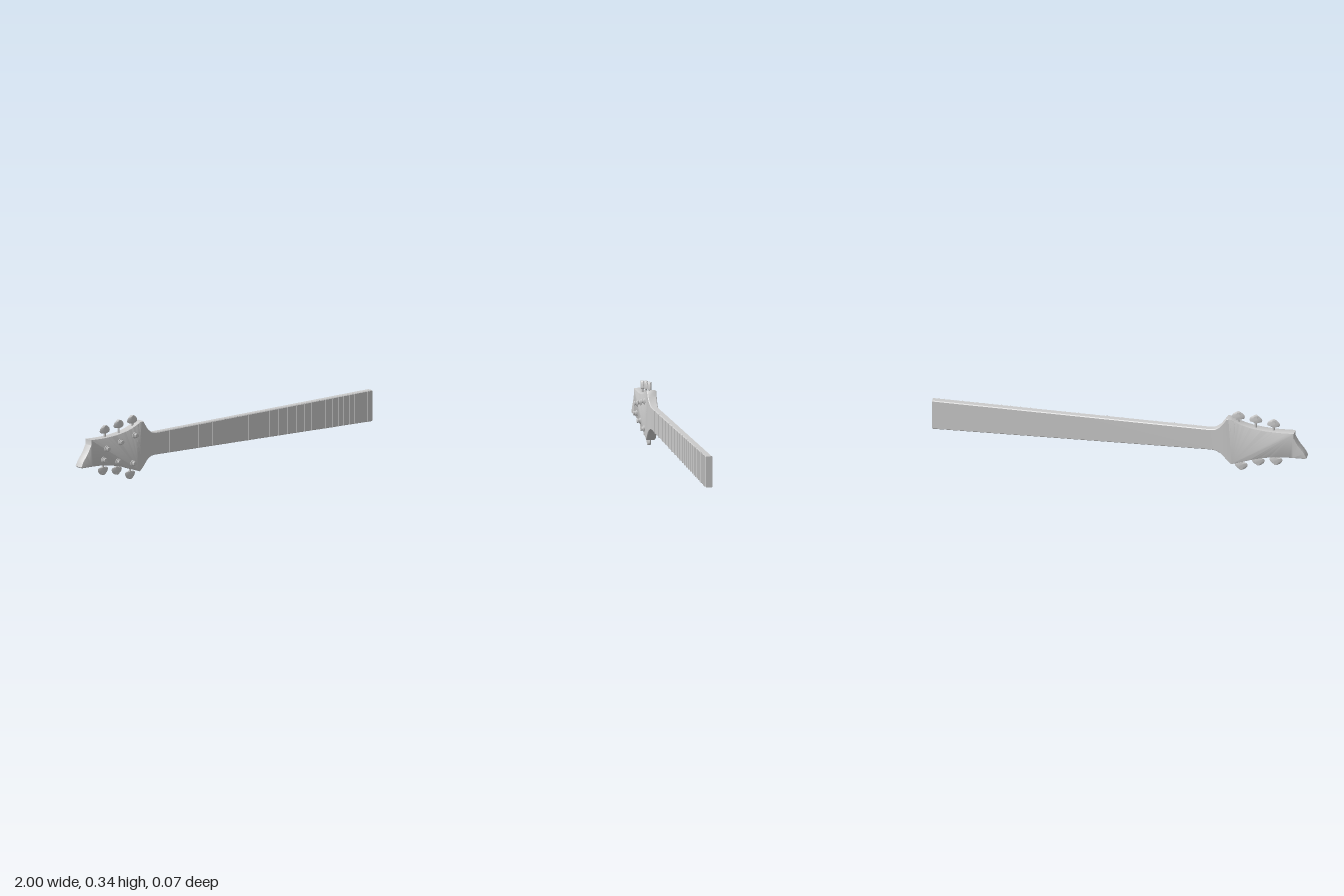
import * as THREE from 'three';
import { toCreasedNormals } from 'three/addons/utils/BufferGeometryUtils.js';

const material = new THREE.MeshStandardMaterial({ color: 0xcccccc });

function addMesh(parent, name, geometry) {
  const mesh = new THREE.Mesh(geometry, material);
  mesh.name = name;
  parent.add(mesh);
  return mesh;
}

// Skin a list of rings (counter-clockwise seen from the far end) and cap both ends
function loft(rings, crease = 0.5) {
  const n = rings[0].length, last = (rings.length - 1) * n, index = [];
  for (let r = 0; r < rings.length - 1; r++) {
    for (let i = 0; i < n; i++) {
      const a = r * n + i, b = r * n + (i + 1) % n;
      index.push(a, b, b + n, a, b + n, a + n);
    }
  }
  for (let i = 1; i < n - 1; i++) {
    index.push(0, i + 1, i, last, last + i, last + i + 1);
  }
  const g = new THREE.BufferGeometry();
  g.setAttribute('position', new THREE.Float32BufferAttribute(rings.flat(2), 3));
  g.setIndex(index);
  return toCreasedNormals(g, crease);
}

// Chamfered rectangle across the neck at x
function neckRing([x, top, bottom, front, back]) {
  const c = 0.004;
  return [
    [x, top, back + c], [x, top, front - c], [x, top - c, front], [x, bottom + c, front],
    [x, bottom, front - c], [x, bottom, back + c], [x, bottom + c, back], [x, top - c, back],
  ];
}

// Flat headstock plate with swept sides and a hooked end
function headstockGeometry() {
  const s = new THREE.Shape();
  const v = (x, y) => new THREE.Vector2(x, y);
  s.moveTo(-0.58, 0.303);
  s.lineTo(-0.596, 0.301);
  s.splineThru([v(-0.66, 0.273), v(-0.74, 0.256), v(-0.84, 0.249), v(-0.933, 0.251)]);
  s.lineTo(-0.933, 0.222);
  s.splineThru([v(-0.955, 0.182), v(-0.985, 0.142), v(-1, 0.113)]);
  s.lineTo(-0.992, 0.107);
  s.splineThru([v(-0.85, 0.103), v(-0.74, 0.083), v(-0.66, 0.057), v(-0.597, 0.036)]);
  s.closePath();
  const b = 0.004;
  const g = new THREE.ExtrudeGeometry(s, {
    depth: 0.05 - 2 * b, curveSegments: 16, bevelThickness: b,
    bevelSize: b, bevelOffset: -b, bevelSegments: 2,
  });
  g.translate(0, 0, -0.035 + b);
  return toCreasedNormals(g, 0.5);
}

// Flattened mushroom-shaped key, its tip at y = 0
function buttonGeometry() {
  const t = 0.0095;
  const profile = [[-0.042, 0.014], [-0.037, 0.031], [-0.028, 0.035], [-0.016, 0.031], [-0.005, 0.02], [0, 0.01]];
  return loft(profile.map(([y, w]) => [
    [w, y, 0], [w * 0.3, y, -t], [-w * 0.3, y, -t],
    [-w, y, 0], [-w * 0.3, y, t], [w * 0.3, y, t],
  ]), 0.6);
}

export function createModel() {
  const model = new THREE.Group();
  model.name = 'guitarNeck';

  addMesh(model, 'headstock', headstockGeometry());

  // Neck: flared throat, then a long board widening toward the body end
  addMesh(model, 'neck', loft([
    [-0.615, 0.292, 0.043, 0.015, -0.035],
    [-0.596, 0.301, 0.036, 0.015, -0.035],
    [-0.574, 0.303, 0.058, 0.015, -0.035],
    [-0.555, 0.274, 0.080, 0.014, -0.034],
    [-0.537, 0.252, 0.096, 0.012, -0.033],
    [-0.512, 0.234, 0.107, 0.009, -0.031],
    [-0.485, 0.229, 0.109, 0.007, -0.029],
    [1, 0.249, 0.082, 0.007, -0.029],
  ].map(neckRing)));

  // Frets spaced by the twelfth root of two
  const frets = new THREE.Group();
  frets.name = 'frets';
  model.add(frets);
  for (let n = 1; n <= 24; n++) {
    const x = -0.5 + 1.96 * (1 - 2 ** (-n / 12));
    const k = (x + 0.485) / 1.485;
    const top = 0.228 + 0.02 * k, bottom = 0.110 - 0.027 * k;
    const fret = addMesh(frets, 'fret', new THREE.BoxGeometry(0.005, top - bottom, 0.005));
    fret.position.set(x, (top + bottom) / 2, 0.007);
  }

  // Tuners: post x, post y, button x, button tip y
  const button = buttonGeometry();
  const tuners = [
    [-0.634, 0.236, -0.632, 0.338], [-0.733, 0.213, -0.725, 0.326], [-0.826, 0.190, -0.82, 0.310],
    [-0.848, 0.133, -0.832, 0.048], [-0.750, 0.111, -0.738, 0.036], [-0.647, 0.088, -0.647, 0.001],
  ];
  for (const [px, py, bx, tip] of tuners) {
    const tuner = new THREE.Group();
    tuner.name = 'tuner';
    model.add(tuner);
    const up = Math.sign(tip - py);

    // Collar, waisted post and cap turned as one piece
    const post = addMesh(tuner, 'post', toCreasedNormals(new THREE.LatheGeometry([
      [0, 0], [0.017, 0], [0.017, 0.005], [0.012, 0.006], [0.012, 0.010],
      [0.009, 0.012], [0.009, 0.014], [0.012, 0.016], [0.011, 0.020], [0.008, 0.021], [0, 0.021],
    ].map(p => new THREE.Vector2(...p)), 16), 0.5));
    post.rotation.x = Math.PI / 2;
    post.position.set(px, py, 0.014);

    const key = addMesh(tuner, 'button', button);
    key.position.set(bx, tip, -0.0095);
    if (up < 0) key.rotation.z = Math.PI;

    const stem = addMesh(tuner, 'stem', new THREE.CylinderGeometry(0.006, 0.006, 0.06, 10));
    stem.position.set(bx, tip - up * 0.06, -0.0095);
  }
  return model;
}
